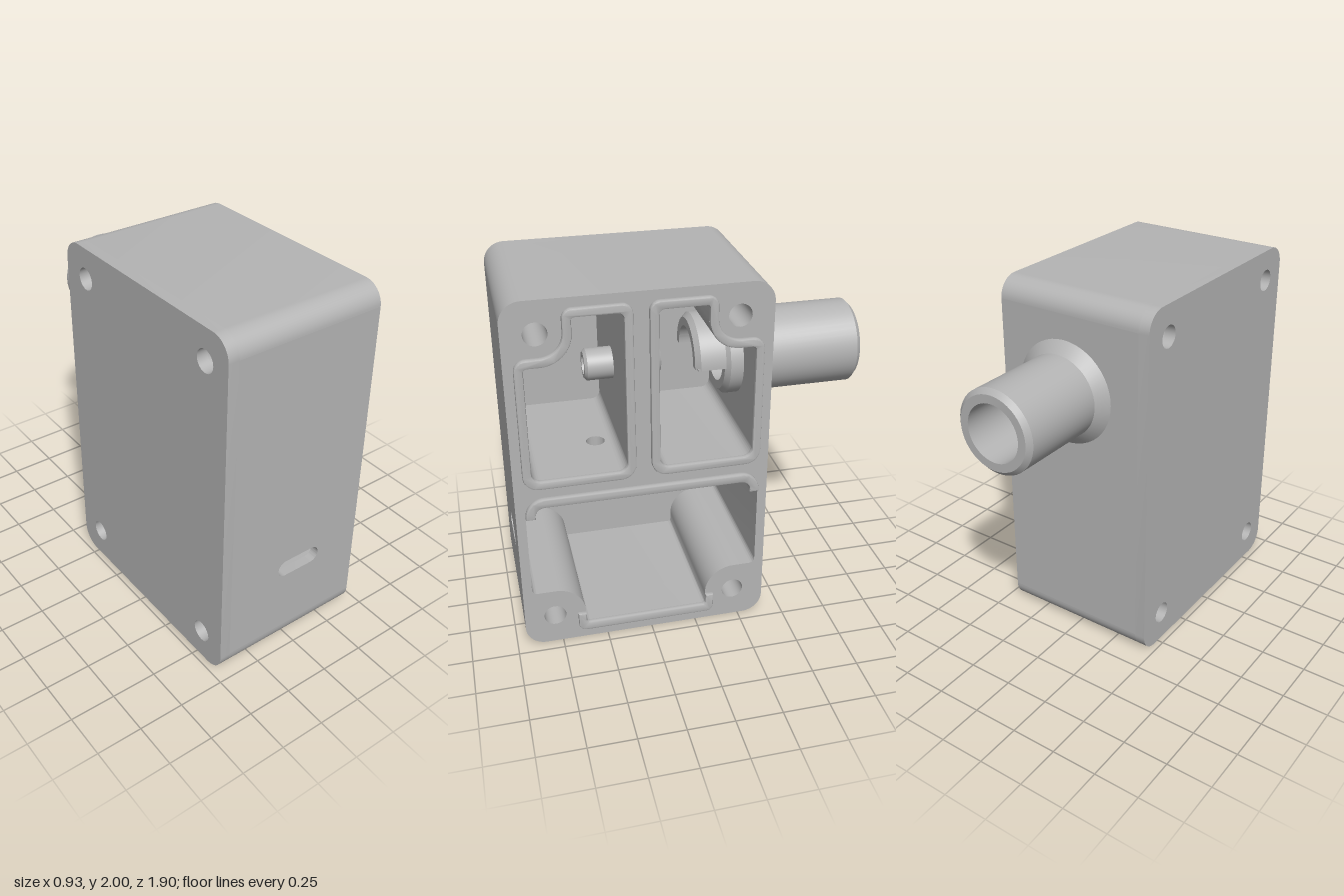
import * as THREE from 'three';
import { toCreasedNormals } from 'three/addons/utils/BufferGeometryUtils.js';

// Local frame: u points to the back (-z), v is up, w is the model's +x.
const BACK = -0.405, FACE = 0.435, MID = -0.28;
const PIPE_V = 1.468, PIPE_W = 0.04;

// Closed contour from [u, v, cornerRadius] right-angled corners.
function contour(points, Type = THREE.Shape) {
  const path = new Type();
  const vec = points.map(([x, y]) => new THREE.Vector2(x, y));
  points.forEach(([, , r = 0], i) => {
    const p = vec[i];
    const toward = (q, d) => p.clone().add(q.clone().sub(p).setLength(d));
    const prev = vec.at(i - 1), next = vec[(i + 1) % vec.length];
    const a = r ? toward(prev, r) : p;
    if (i) path.lineTo(a.x, a.y); else path.moveTo(a.x, a.y);
    if (!r) return;
    const b = toward(next, r), c = toward(prev, r * 0.448), d = toward(next, r * 0.448);
    path.bezierCurveTo(c.x, c.y, d.x, d.y, b.x, b.y);
  });
  path.closePath();
  return path;
}

const mirrored = (points) => points.map(([u, v, r]) => [2 * MID - u, v, r]).reverse();

function circle(x, y, r) {
  const path = new THREE.Shape();
  path.absarc(x, y, r, 0, Math.PI * 2, false);
  return path;
}

const smooth = (g) => toCreasedNormals(g, 0.6);

// Remove triangles lying flat on one coordinate plane, between lo and hi on another axis.
function dropFlat(geometry, axis, value, other, lo, hi) {
  const g = geometry.index ? geometry.toNonIndexed() : geometry;
  const p = g.attributes.position.array, kept = [];
  for (let i = 0; i < p.length; i += 9) {
    const flat = [0, 3, 6].every((k) => Math.abs(p[i + k + axis] - value) < 1e-4);
    const c = (p[i + other] + p[i + 3 + other] + p[i + 6 + other]) / 3;
    if (!(flat && c > lo && c < hi)) for (let k = 0; k < 9; k++) kept.push(p[i + k]);
  }
  const out = new THREE.BufferGeometry();
  out.setAttribute('position', new THREE.Float32BufferAttribute(kept, 3));
  out.computeVertexNormals();
  return out;
}

export function createModel() {
  const grey = new THREE.MeshStandardMaterial({ color: 0xb4b4b4, side: THREE.DoubleSide });
  grey.name = 'plain grey';
  const model = new THREE.Group();
  model.name = 'housing';
  const frame = new THREE.Group();
  frame.name = 'housingParts';
  frame.rotation.y = Math.PI / 2;
  model.add(frame);

  const add = (name, geometry) => {
    const mesh = new THREE.Mesh(geometry, grey);
    mesh.name = name;
    frame.add(mesh);
    return mesh;
  };

  // Outlines
  const outer = [[-0.95, 0, 0.11], [0.39, 0, 0.11], [0.39, 2, 0.11], [-0.95, 2, 0.11]];
  const pocket = [[-0.855, 1.04, 0.05], [-0.365, 1.04, 0.05], [-0.365, 1.905, 0.03],
    [-0.615, 1.905, 0.015], [-0.615, 1.665, 0.16], [-0.855, 1.665, 0.02]];
  const pocketRim = [[-0.9, 0.995, 0.08], [-0.32, 0.995, 0.08], [-0.32, 1.95, 0.05],
    [-0.66, 1.95, 0.05], [-0.66, 1.71, 0.12], [-0.9, 1.71, 0.06]];
  const chamberHalf = [[-0.85, 0.885, 0.05], [-0.85, 0.82], [-0.9, 0.82],
    [-0.9, 0.335, 0.03], [-0.617, 0.335, 0.16], [-0.617, 0.11, 0.02]];
  const chamber = [...chamberHalf, ...mirrored(chamberHalf)];
  const screwHoles = [];
  for (const u of [-0.785, 0.215]) for (const v of [0.175, 1.83]) screwHoles.push(circle(u, v, 0.06));

  // Back plate, which is also the floor of the pockets
  const plate = contour(outer);
  plate.holes.push(...screwHoles);
  const plateGeo = new THREE.ExtrudeGeometry(plate, { depth: 0.06, bevelEnabled: false, curveSegments: 14 });
  add('backPlate', smooth(plateGeo.translate(0, 0, BACK - 0.06)));

  // Walls with two upper pockets and the lower chamber
  const walls = contour(outer);
  walls.holes.push(...screwHoles, contour(pocket), contour(mirrored(pocket)), contour(chamber));
  let body = new THREE.ExtrudeGeometry(walls, { depth: FACE - BACK, bevelEnabled: false, curveSegments: 14 })
    .translate(0, 0, BACK);

  // Replace a flat wall face by one with an opening; hole is drawn in (w, v) or (u, w)
  function pierceSide(u, v0, v1, hole) {
    body = dropFlat(body, 0, u, 1, v0, v1);
    const s = contour([[BACK, v0], [FACE, v0], [FACE, v1], [BACK, v1]]);
    s.holes.push(hole);
    add('piercedWall', new THREE.ShapeGeometry(s, 24).rotateY(-Math.PI / 2).translate(u, 0, 0));
  }
  function pierceLevel(v, u0, u1, hole) {
    body = dropFlat(body, 1, v, 0, u0, u1);
    const s = contour([[u0, BACK], [u1, BACK], [u1, FACE], [u0, FACE]]);
    s.holes.push(hole);
    add('piercedDivider', new THREE.ShapeGeometry(s, 24).rotateX(Math.PI / 2).translate(0, v, 0));
  }
  // Open-ended lining of an opening
  function lining(shape, depth) {
    let g = new THREE.ExtrudeGeometry(shape, { depth, bevelEnabled: false, curveSegments: 24 });
    g = dropFlat(g, 2, 0, 0, -9, 9);
    return smooth(dropFlat(g, 2, depth, 0, -9, 9));
  }

  // Pipe opening in the back wall
  const bore = circle(PIPE_W, PIPE_V, 0.155);
  pierceSide(0.39, 0.11, 1.89, bore);
  pierceSide(0.295, 1.09, 1.645, bore);

  // Slot in the front wall
  const slot = contour([[-0.095, 0.468, 0.0485], [0.175, 0.468, 0.0485],
    [0.175, 0.565, 0.0485], [-0.095, 0.565, 0.0485]]);
  pierceSide(-0.95, 0.11, 1.89, slot);
  pierceSide(-0.9, 0.365, 0.82, slot);
  add('slotLining', lining(slot, 0.05).rotateY(-Math.PI / 2).translate(-0.9, 0, 0));

  // Opening between the two pockets
  const link = circle(PIPE_W, PIPE_V, 0.05);
  pierceSide(-0.365, 1.09, 1.875, link);
  pierceSide(2 * MID + 0.365, 1.09, 1.875, link);

  // Cable hole from the lower chamber up into a pocket
  const cable = circle(-0.475, 0.1, 0.05);
  pierceLevel(0.885, -0.8, 0.24, cable);
  pierceLevel(1.04, -0.805, -0.415, cable);
  add('cableHoleLining', lining(cable, 0.155).rotateX(Math.PI / 2).translate(0, 1.04, 0));
  add('body', smooth(body));

  // Raised sealing rims
  function rim(name, shape) {
    const g = new THREE.ExtrudeGeometry(shape, { depth: 0.017, bevelThickness: 0.008, bevelSize: 0.008,
      bevelOffset: -0.008, bevelSegments: 2, curveSegments: 10 });
    add(name, smooth(g.translate(0, 0, FACE)));
  }
  for (const [name, flip] of [['frontPocketRim', (p) => p], ['backPocketRim', mirrored]]) {
    const s = contour(flip(pocketRim));
    s.holes.push(contour(flip(pocket), THREE.Path));
    rim(name, s);
  }
  rim('chamberTopRim', contour([[-0.9, 0.82], [-0.9, 0.935, 0.1], [0.34, 0.935, 0.1], [0.34, 0.82],
    [0.29, 0.82], [0.29, 0.885, 0.05], [-0.85, 0.885, 0.05], [-0.85, 0.82]]));
  rim('chamberBottomRim', contour([[-0.66, 0.17], [-0.66, 0.06, 0.04], [0.1, 0.06, 0.04], [0.1, 0.17],
    [0.057, 0.17], [0.057, 0.11, 0.02], [-0.617, 0.11, 0.02], [-0.617, 0.17]]));

  // Board guide rails on both chamber walls
  for (const u of [-0.87, 0.31]) {
    for (const [v, h] of [[0.648, 0.065], [0.53, 0.07]]) {
      add('guideRail', new THREE.BoxGeometry(0.06, h, 0.19)).position.set(u, v, BACK + 0.095);
    }
  }

  // Turned parts along u, from [radius, u] profiles
  function turned(name, profile, start = 0, sweep = Math.PI * 2) {
    const pts = profile.map(([r, u]) => new THREE.Vector2(r, u));
    const g = new THREE.LatheGeometry(pts, 48, start, sweep).rotateZ(-Math.PI / 2);
    add(name, smooth(g)).position.set(0, PIPE_V, PIPE_W);
  }
  turned('pipe', [[0.155, 0.2], [0.2, 0.2], [0.226, 0.226], [0.226, 0.38], [0.285, 0.39], [0.226, 0.445],
    [0.226, 0.925], [0.2, 0.95], [0.155, 0.95], [0.155, 0.2]]);
  turned('pipeInnerLip', [[0.155, 0.2], [0.155, 0.04], [0.2, 0.04], [0.226, 0.066], [0.226, 0.2]],
    Math.PI, Math.PI);
  for (const side of [-1, 1]) {
    add('lipEdge', new THREE.BoxGeometry(0.15, 0.008, 0.068))
      .position.set(0.125, PIPE_V + 0.004, PIPE_W + side * 0.19);
  }
  turned('linkTube', [[0.05, -0.515], [0.07, -0.515], [0.085, -0.5], [0.085, -0.125], [0.07, -0.11],
    [0.05, -0.11], [0.05, -0.515]]);

  return model;
}
